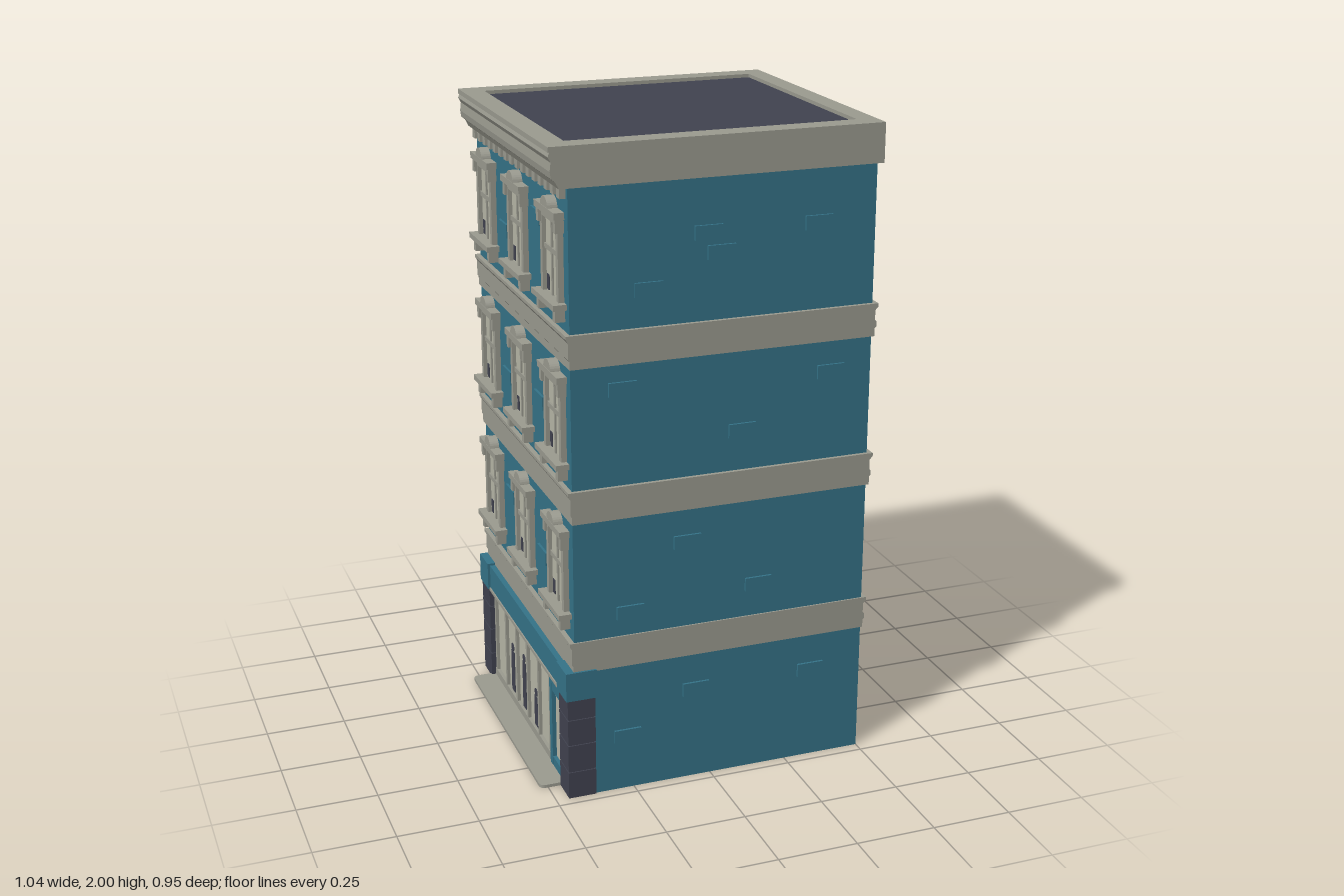
import * as THREE from 'three';

const material = (name, color, side = THREE.FrontSide) => {
  const m = new THREE.MeshStandardMaterial({ color, side });
  m.name = name;
  return m;
};

export function createModel() {
  const model = new THREE.Group();
  model.name = 'cornerShopBuilding';
  const teal = material('teal paint', 0x357388);
  const stone = material('grey stone', 0x9b9b90);
  const dark = material('dark slate', 0x414350);
  const cream = material('pale interior', 0xb8b8a8);

  const add = (parent, name, geometry, mat) => {
    const mesh = new THREE.Mesh(geometry, mat);
    mesh.name = name;
    parent.add(mesh);
    return mesh;
  };
  // Box given by its limits on each axis
  const box = (parent, name, mat, x0, x1, y0, y1, z0, z1) => {
    const mesh = add(parent, name, new THREE.BoxGeometry(x1 - x0, y1 - y0, z1 - z0), mat);
    mesh.position.set((x0 + x1) / 2, (y0 + y1) / 2, (z0 + z1) / 2);
    return mesh;
  };
  // Cross-section in x and y, swept along z
  const sweep = (parent, name, mat, points, halfZ, y) => {
    const shape = new THREE.Shape(points.map(([px, py]) => new THREE.Vector2(px, py)));
    const geo = new THREE.ExtrudeGeometry(shape, { depth: halfZ * 2, bevelEnabled: false });
    const mesh = add(parent, name, geo, mat);
    mesh.position.set(0, y, -halfZ);
    return mesh;
  };

  // Walls: solid upper floors over a hollow shop
  box(model, 'upperWalls', teal, -0.435, 0.5, 0.42, 1.9, -0.465, 0.465);
  box(model, 'shopCeiling', stone, -0.43, 0.495, 0.412, 0.419, -0.46, 0.46);
  box(model, 'groundWallLeft', teal, 0.492, 0.5, 0, 0.42, -0.465, 0.465);
  for (const s of [-1, 1]) {
    const wall = box(model, 'groundWallSide', teal, -0.435, 0.492, 0, 0.42, -0.004, 0.004);
    wall.position.z = s * 0.461;
  }

  // Moulded belts between floors
  for (const y of [0.415, 0.895, 1.365]) {
    sweep(model, 'beltCourse', stone, [
      [-0.44, 0], [0.505, 0], [0.505, 0.025], [0.51, 0.03], [0.51, 0.045], [0.505, 0.05],
      [0.505, 0.08], [0.515, 0.09], [0.515, 0.1], [-0.45, 0.1], [-0.45, 0.09],
      [-0.444, 0.08], [-0.444, 0.03], [-0.44, 0.025],
    ], y < 0.5 ? 0.47 : 0.477, y);
  }

  // Cornice, parapet rim and sunken roof
  sweep(model, 'cornice', stone, [
    [-0.46, 0], [0.52, 0], [0.52, 0.105], [-0.485, 0.105], [-0.49, 0.09], [-0.482, 0.075],
    [-0.485, 0.05], [-0.482, 0.03], [-0.47, 0.02], [-0.465, 0.01],
  ], 0.469, 1.882);
  const rim = new THREE.Shape([[-0.49, -0.469], [0.52, -0.469], [0.52, 0.469], [-0.49, 0.469]]
    .map(p => new THREE.Vector2(...p)));
  rim.holes.push(new THREE.Path([[-0.423, -0.402], [-0.423, 0.402], [0.46, 0.402], [0.46, -0.402]]
    .map(p => new THREE.Vector2(...p))));
  const parapet = add(model, 'parapetRim',
    new THREE.ExtrudeGeometry(rim, { depth: 0.015, bevelEnabled: false }), stone);
  parapet.rotation.x = -Math.PI / 2;
  parapet.position.y = 1.985;
  box(model, 'roof', dark, -0.423, 0.46, 1.984, 1.989, -0.402, 0.402);
  for (let i = 0; i < 16; i++) {
    const z = -0.435 + i * 0.058;
    box(model, 'dentil', stone, -0.453, -0.43, 1.85, 1.883, z - 0.014, z + 0.014);
  }

  // Windows, built around the sill and facing -x
  const crestShape = new THREE.Shape();
  crestShape.absarc(0, 0, 0.035, 0, Math.PI);
  const makeWindow = (sillY, z) => {
    const w = new THREE.Group();
    w.name = 'window';
    w.position.set(0, sillY, z);
    model.add(w);
    box(w, 'pane', cream, -0.44, -0.432, 0, 0.25, -0.065, 0.065);
    box(w, 'curtain', dark, -0.442, -0.436, 0.01, 0.055, -0.055, -0.035);
    box(w, 'sill', stone, -0.475, -0.43, -0.012, 0.005, -0.105, 0.105);
    box(w, 'apron', stone, -0.447, -0.43, -0.035, -0.012, -0.08, 0.08);
    box(w, 'head', stone, -0.452, -0.43, 0.225, 0.26, -0.085, 0.085);
    box(w, 'hood', stone, -0.466, -0.43, 0.245, 0.265, -0.095, 0.095);
    box(w, 'meetingRail', stone, -0.446, -0.43, 0.13, 0.145, -0.065, 0.065);
    box(w, 'glazingBar', stone, -0.445, -0.43, 0, 0.23, -0.005, 0.005);
    const crest = add(w, 'crest',
      new THREE.ExtrudeGeometry(crestShape, { depth: 0.035, bevelEnabled: false, curveSegments: 8 }), stone);
    crest.rotation.y = -Math.PI / 2;
    crest.position.set(-0.43, 0.26, 0);
    for (const s of [-1, 1]) {
      box(w, 'jamb', stone, -0.452, -0.43, 0, 0.235, s * 0.073 - 0.01, s * 0.073 + 0.01);
      box(w, 'hoodBracket', stone, -0.461, -0.43, 0.205, 0.247, s * 0.08 - 0.01, s * 0.08 + 0.01);
      box(w, 'sillBracket', stone, -0.465, -0.43, -0.05, -0.012, s * 0.078 - 0.011, s * 0.078 + 0.011);
    }
  };
  for (const y of [0.595, 1.067, 1.543]) for (const z of [-0.34, 0, 0.34]) makeWindow(y, z);

  // Corner piers of stacked blocks with painted capitals
  for (const s of [-1, 1]) {
    const pier = new THREE.Group();
    pier.name = 'cornerPier';
    model.add(pier);
    const span = (a, b) => (s > 0 ? [a, b] : [-b, -a]);
    const joints = [0, 0.09, 0.18, 0.265, 0.33];
    box(pier, 'pierCore', dark, -0.457, -0.378, 0, 0.33, ...span(0.39, 0.469));
    for (let i = 0; i < 4; i++) {
      box(pier, 'pierBlock', dark, -0.461, -0.374, joints[i] + 0.002, joints[i + 1] - 0.002, ...span(0.386, 0.473));
    }
    box(pier, 'pierCapital', teal, -0.466, -0.37, 0.33, 0.422, ...span(0.382, 0.477));
  }

  // Shop front
  const shop = new THREE.Group();
  shop.name = 'shopFront';
  model.add(shop);
  box(shop, 'fascia', teal, -0.458, -0.428, 0.335, 0.415, -0.385, 0.385);
  box(shop, 'fasciaMoulding', stone, -0.462, -0.428, 0.326, 0.336, -0.385, 0.385);
  box(shop, 'shopWindow', cream, -0.436, -0.43, 0.03, 0.33, -0.39, 0.25);
  box(shop, 'stallRiser', stone, -0.447, -0.428, 0, 0.035, -0.39, 0.25);
  for (let i = 0; i < 6; i++) {
    const z = -0.375 + i * 0.122;
    box(shop, 'mullion', stone, -0.446, -0.428, 0.03, 0.33, z - 0.007, z + 0.007);
  }
  box(shop, 'doorPanel', cream, -0.437, -0.431, 0, 0.33, 0.25, 0.39);
  for (const z of [0.262, 0.375]) box(shop, 'doorPost', teal, -0.45, -0.426, 0, 0.33, z - 0.012, z + 0.012);
  for (const y of [0.02, 0.29]) box(shop, 'doorRail', teal, -0.449, -0.427, y - 0.02, y + 0.02, 0.26, 0.38);

  // Display figures, flat against the shop window
  for (const [z, h] of [[-0.2, 0.15], [-0.07, 0.17], [0.06, 0.11]]) {
    box(shop, 'displayBody', dark, -0.438, -0.428, 0.03, 0.03 + h, z - 0.018, z + 0.018);
    const head = add(shop, 'displayHead', new THREE.CylinderGeometry(0.014, 0.014, 0.01, 10), dark);
    head.rotation.z = Math.PI / 2;
    head.position.set(-0.433, 0.045 + h, z);
  }

  // Rounded pavement step
  const step = new THREE.Shape();
  step.moveTo(-0.43, -0.385);
  step.lineTo(-0.43, 0.395);
  step.lineTo(-0.505, 0.395);
  step.quadraticCurveTo(-0.525, 0.395, -0.525, 0.375);
  step.lineTo(-0.525, -0.365);
  step.quadraticCurveTo(-0.525, -0.385, -0.505, -0.385);
  const slab = add(model, 'doorstep',
    new THREE.ExtrudeGeometry(step, { depth: 0.01, bevelEnabled: false, curveSegments: 5 }), stone);
  slab.rotation.x = -Math.PI / 2;

  // Raised bricks: [x, y] on the side walls, [z, y] on the window wall
  const frontBricks = [[-0.2, 1.576], [-0.02, 1.725], [0.02, 1.665], [0.32, 1.725], [-0.28, 1.29], [0.09, 1.12],
    [0.37, 1.27], [-0.08, 0.79], [-0.26, 0.59], [0.15, 0.62], [-0.27, 0.18], [-0.05, 0.3], [0.33, 0.3]];
  const backBricks = [[0.01, 1.76], [0.32, 1.6], [0.28, 1.55], [0.35, 1.31], [-0.32, 1.31], [0, 1.12],
    [0.29, 0.76], [-0.02, 0.72], [-0.31, 0.79], [0.38, 0.15], [0.09, 0.3], [-0.31, 0.14]];
  const brick = (x, y, z, turn) => {
    const mesh = add(model, 'raisedBrick', new THREE.BoxGeometry(0.085, 0.042, 0.009), teal);
    mesh.position.set(x, y, z);
    mesh.rotation.y = turn;
  };
  for (const [x, y] of frontBricks) brick(x, y, 0.468, 0);
  for (const [x, y] of backBricks) brick(x, y, -0.468, 0);
  for (const [z, y] of [[0.17, 1.74], [0.17, 1.18], [0.17, 0.68], [-0.17, 1.15], [-0.17, 0.75], [-0.17, 1.62]]) {
    brick(-0.438, y, z, Math.PI / 2);
  }

  return model;
}
